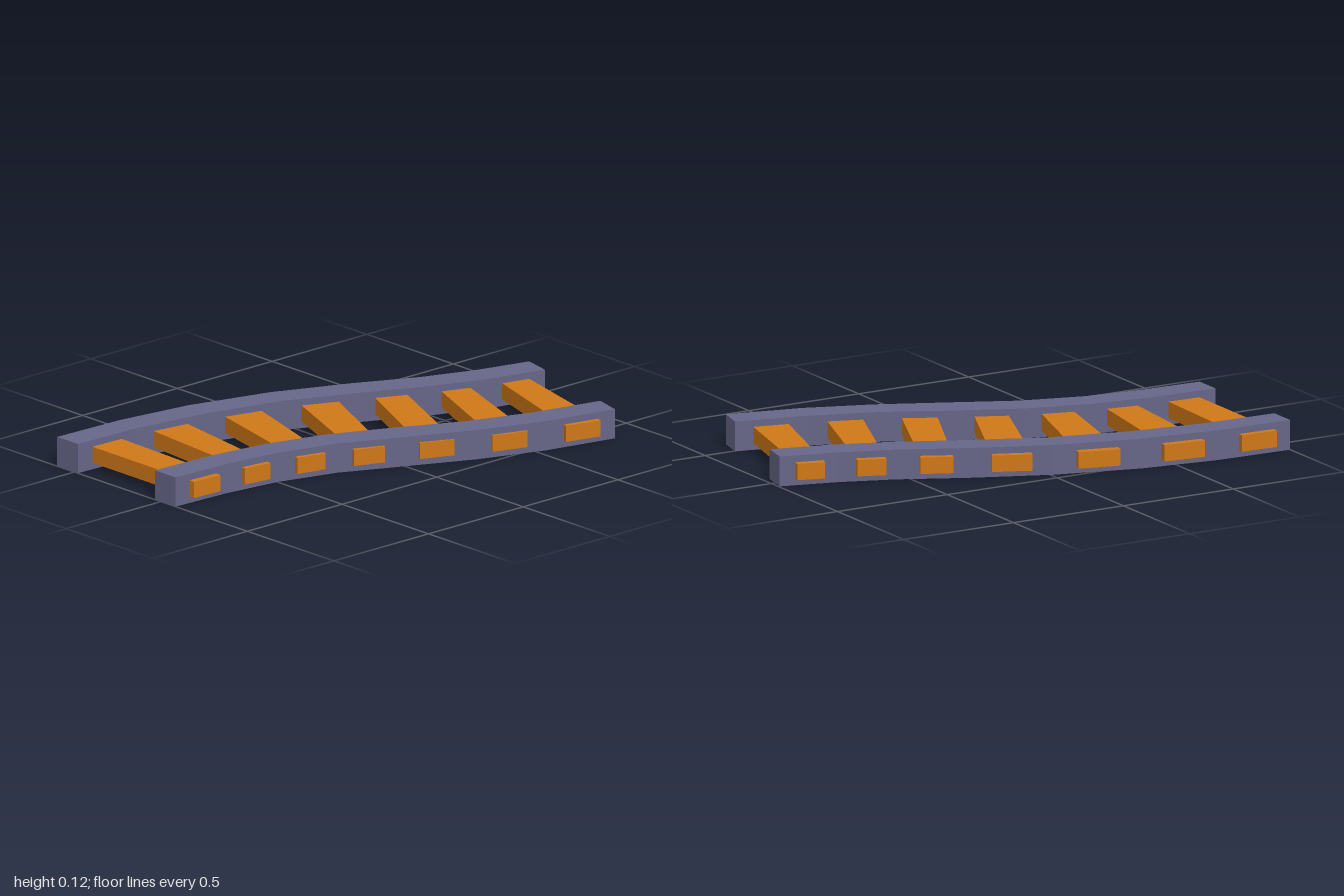
import * as THREE from 'three';

// Upright prism from a plan outline of [x, z] points
function prism(name, outline, y0, y1, material) {
  const shape = new THREE.Shape(outline.map(([x, z]) => new THREE.Vector2(x, -z)));
  const geometry = new THREE.ExtrudeGeometry(shape, { depth: y1 - y0, bevelEnabled: false });
  geometry.rotateX(-Math.PI / 2).translate(0, y0, 0);
  const mesh = new THREE.Mesh(geometry, material);
  mesh.name = name;
  return mesh;
}

export function createModel() {
  const group = new THREE.Group();
  group.name = 'curvedTrack';
  const metal = new THREE.MeshStandardMaterial({ color: 0x666688, flatShading: true });
  const wood = new THREE.MeshStandardMaterial({ color: 0xd07818, flatShading: true });

  // Rails: back edge and front edge of each S-curve, from -x to +x
  const rails = {
    backRail: [
      [[-1, -0.6], [-0.675, -0.59], [-0.355, -0.547], [-0.01, -0.452], [0.295, -0.323], [0.555, -0.195], [0.77, -0.115], [0.995, -0.055]],
      [[-1, -0.48], [-0.695, -0.47], [-0.37, -0.425], [-0.05, -0.34], [0.24, -0.212], [0.51, -0.083], [0.735, 0.002], [0.97, 0.062]],
    ],
    frontRail: [
      [[-1, -0.035], [-0.72, -0.025], [-0.465, 0.01], [-0.205, 0.083], [0.05, 0.2], [0.305, 0.328], [0.58, 0.425], [0.868, 0.495]],
      [[-1, 0.085], [-0.745, 0.095], [-0.5, 0.125], [-0.25, 0.197], [0.005, 0.318], [0.267, 0.441], [0.54, 0.54], [0.84, 0.61]],
    ],
  };
  for (const [name, [back, front]] of Object.entries(rails)) {
    group.add(prism(name, [...back, ...[...front].reverse()], 0, 0.12, metal));
  }

  // Tapered sleepers: back pair then front pair of corners
  const sleepers = [
    [[-0.925, -0.625], [-0.77, -0.617], [-0.795, 0.12], [-0.93, 0.115]],
    [[-0.605, -0.61], [-0.435, -0.59], [-0.55, 0.14], [-0.67, 0.125]],
    [[-0.255, -0.555], [-0.09, -0.512], [-0.31, 0.195], [-0.43, 0.165]],
    [[0.08, -0.445], [0.225, -0.382], [-0.08, 0.287], [-0.2, 0.24]],
    [[0.363, -0.318], [0.48, -0.265], [0.18, 0.405], [0.048, 0.35]],
    [[0.603, -0.21], [0.71, -0.168], [0.46, 0.522], [0.32, 0.473]],
    [[0.833, -0.13], [0.94, -0.098], [0.76, 0.615], [0.613, 0.575]],
  ];
  sleepers.forEach((corners, i) => {
    group.add(prism('sleeper' + (i + 1), corners, 0.027, 0.093, wood));
  });
  return group;
}
